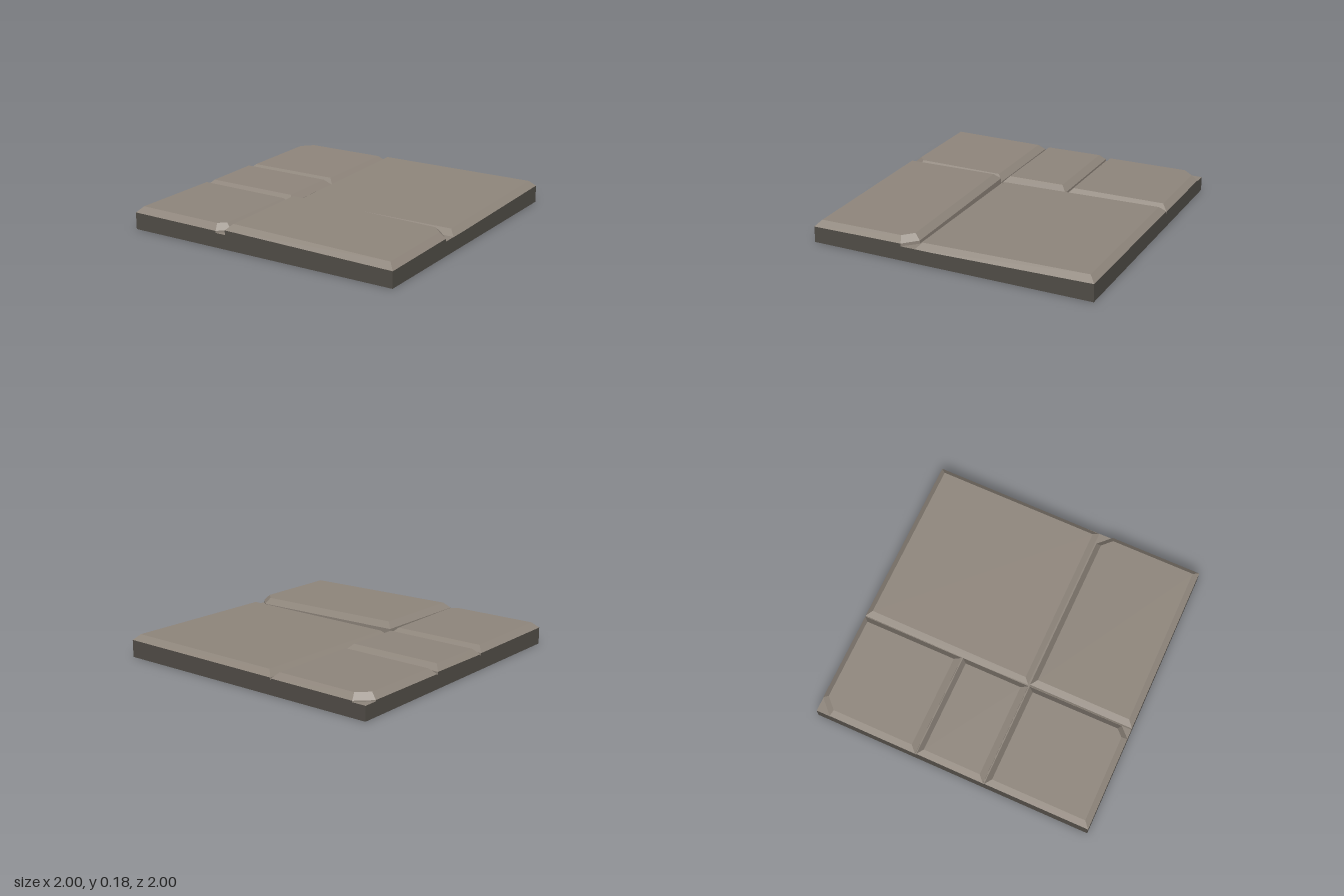
import * as THREE from 'three';

const BASE_TOP = 0.1;
const BEVEL = 0.04;

const paving = new THREE.MeshStandardMaterial({ color: 0x8f867c });
paving.name = 'paving stone';
const edge = new THREE.MeshStandardMaterial({ color: 0x524e48 });
edge.name = 'dark edge';

// Corners of a rectangle, counter-clockwise from above, with one corner optionally cut off
function outline(x0, x1, z0, z1, cutCorner, cut) {
  const corners = [[x0, z0], [x0, z1], [x1, z1], [x1, z0]];
  const points = [];
  corners.forEach((p, i) => {
    if (i !== cutCorner) return points.push(p);
    for (const q of [corners[(i + 3) % 4], corners[(i + 1) % 4]]) {
      points.push([p[0] + Math.sign(q[0] - p[0]) * cut, p[1] + Math.sign(q[1] - p[1]) * cut]);
    }
  });
  return points;
}

// Bevelled slab with a slightly tilted top; height is [at centre, slope along x, slope along z]
function makeStone({ name, x, z, height, cutCorner = -1, cut = 0 }) {
  const [x0, x1] = x, [z0, z1] = z;
  const cx = (x0 + x1) / 2, cz = (z0 + z1) / 2;
  const top = (px, pz) => height[0] + (px - cx) * height[1] + (pz - cz) * height[2];
  const outer = outline(x0, x1, z0, z1, cutCorner, cut);
  const inner = outline(x0 + BEVEL, x1 - BEVEL, z0 + BEVEL, z1 - BEVEL,
    cutCorner, cut - BEVEL * (2 - Math.SQRT2));

  const crown = inner.map(([px, pz]) => [px, top(px, pz), pz]);
  const rim = outer.map(([px, pz]) => [px, top(px, pz) - BEVEL, pz]);
  const foot = rim.map(([px, py, pz]) => [px, Math.min(py, BASE_TOP), pz]);

  const light = [], dark = [];
  const quad = (list, a, b, c, d) => list.push(...a, ...b, ...c, ...a, ...c, ...d);
  const n = outer.length;
  for (let i = 0; i < n; i++) {
    const j = (i + 1) % n;
    // Walls on the outside of the tile are dark
    const outside = [0, 2].some((k) => Math.abs(rim[i][k]) === 1 && rim[i][k] === rim[j][k]);
    quad(outside ? dark : light, foot[i], foot[j], rim[j], rim[i]);
    quad(light, rim[i], rim[j], crown[j], crown[i]);
    if (i > 0 && i < n - 1) light.push(...crown[0], ...crown[i], ...crown[j]);
  }

  const geometry = new THREE.BufferGeometry();
  geometry.setAttribute('position', new THREE.Float32BufferAttribute([...light, ...dark], 3));
  geometry.addGroup(0, light.length / 3, 0);
  geometry.addGroup(light.length / 3, dark.length / 3, 1);
  geometry.computeVertexNormals();
  const mesh = new THREE.Mesh(geometry, [paving, edge]);
  mesh.name = name;
  return mesh;
}

export function createModel() {
  const group = new THREE.Group();
  group.name = 'floorTile';

  // Slab: dark sides and underside, stone-coloured joints on top
  const slab = new THREE.Mesh(
    new THREE.BoxGeometry(2, BASE_TOP, 2),
    [edge, edge, paving, edge, edge, edge]
  );
  slab.position.y = BASE_TOP / 2;
  slab.name = 'slab';
  group.add(slab);

  // Five paving stones
  const stones = [
    { name: 'largeStone', x: [-0.25, 1], z: [-1, 0.24], height: [0.147, 0.004, -0.019] },
    { name: 'frontWideStone', x: [-0.25, 1], z: [0.25, 1], height: [0.166, -0.016, -0.012],
      cutCorner: 3, cut: 0.09 },
    { name: 'backCornerStone', x: [-1, -0.255], z: [-1, -0.26], height: [0.147, 0.003, -0.008],
      cutCorner: 0, cut: 0.1 },
    { name: 'middleStone', x: [-1, -0.255], z: [-0.25, 0.24], height: [0.152, 0, -0.012] },
    { name: 'frontCornerStone', x: [-1, -0.255], z: [0.25, 1], height: [0.154, -0.006, 0.004],
      cutCorner: 2, cut: 0.07 },
  ];
  for (const stone of stones) group.add(makeStone(stone));

  return group;
}
